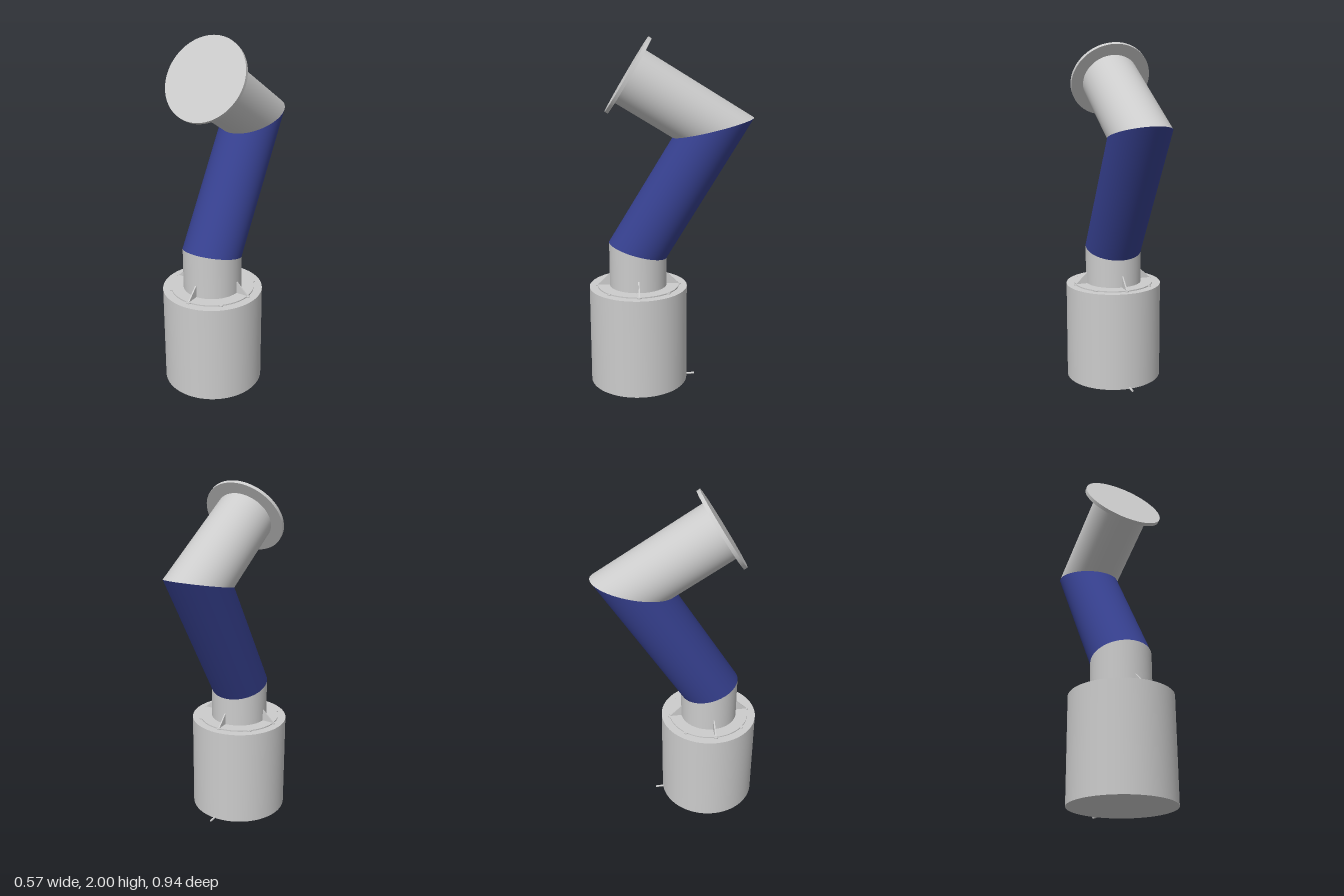
import * as THREE from 'three';

const R = 0.167;          // arm tube radius
const BASE_Z = 0.188;     // base axis
const BASE_R = 0.285;
const BASE_H = 0.58;
const PLATE_R = 0.237;

export function createModel() {
  const grey = new THREE.MeshStandardMaterial({ color: 0xcccccc });
  const blue = new THREE.MeshStandardMaterial({ color: 0x36408f });
  const tubeGrey = new THREE.MeshStandardMaterial({ color: 0xcccccc, side: THREE.DoubleSide });
  const tubeBlue = new THREE.MeshStandardMaterial({ color: blue.color, side: THREE.DoubleSide });
  const model = new THREE.Group();

  function add(name, geometry, material = grey, parent = model) {
    const mesh = new THREE.Mesh(geometry, material);
    mesh.name = name;
    parent.add(mesh);
    return mesh;
  }

  // Tube from one joint to the next, its ends cut at a slope for the mitres
  function mitredTube(name, from, to, slopeStart, slopeEnd, material) {
    const length = from.distanceTo(to);
    const g = new THREE.CylinderGeometry(R, R, length, 72, 1, true);
    g.translate(0, length / 2, 0);
    const p = g.attributes.position;
    for (let i = 0; i < p.count; i++) {
      const slope = p.getY(i) > length / 2 ? slopeEnd : slopeStart;
      p.setY(i, p.getY(i) + slope * p.getZ(i));
    }
    const tube = add(name, g, material);
    tube.position.copy(from);
    tube.rotation.x = Math.atan2(to.z - from.z, to.y - from.y);
    return tube;
  }

  // Base drum with a small peg at the back
  const base = new THREE.Group();
  base.name = 'base';
  base.position.z = BASE_Z;
  model.add(base);
  add('baseDrum', new THREE.CylinderGeometry(BASE_R, BASE_R, BASE_H, 72), grey, base)
    .position.y = BASE_H / 2;
  const peg = add('basePeg', new THREE.CylinderGeometry(0.006, 0.006, 0.08, 12), grey, base);
  peg.rotation.x = Math.PI / 2;
  peg.position.set(0, 0.006, -0.293);

  // Mounting plate with bolts on its rim
  add('mountingPlate', new THREE.CylinderGeometry(PLATE_R, PLATE_R, 0.007, 72), grey, base)
    .position.y = BASE_H + 0.0035;
  for (let i = 0; i < 8; i++) {
    const a = (i * Math.PI) / 4;
    add('plateBolt', new THREE.CylinderGeometry(0.012, 0.012, 0.006, 16), grey, base)
      .position.set(PLATE_R * Math.sin(a), BASE_H + 0.003, PLATE_R * Math.cos(a));
  }

  // Triangular gussets bracing the tube
  const web = new THREE.Shape([
    new THREE.Vector2(R - 0.01, BASE_H),
    new THREE.Vector2(PLATE_R, BASE_H),
    new THREE.Vector2(PLATE_R, BASE_H + 0.008),
    new THREE.Vector2(R, 0.655),
    new THREE.Vector2(R - 0.01, 0.655),
  ]);
  const webGeometry = new THREE.ExtrudeGeometry(web, { depth: 0.008, bevelEnabled: false });
  webGeometry.translate(0, 0, -0.004);
  for (let i = 0; i < 4; i++) {
    add('gusset', webGeometry, grey, base).rotation.y = (i * Math.PI) / 2;
  }

  // Arm: upright stub, leaning blue section, wrist at a right angle to it
  const foot = new THREE.Vector3(0, BASE_H, BASE_Z);
  const shoulder = new THREE.Vector3(0, 0.798, BASE_Z);
  const elbow = new THREE.Vector3(0, 1.503, -0.242);
  const lean = Math.atan2(elbow.z - shoulder.z, elbow.y - shoulder.y);
  const wristDir = new THREE.Vector3(0, -Math.sin(lean), Math.cos(lean));
  const wristEnd = elbow.clone().addScaledVector(wristDir, 0.55);
  const mitre = Math.tan(-lean / 2);
  mitredTube('lowerTube', foot, shoulder, 0, mitre, tubeGrey);
  mitredTube('middleTube', shoulder, elbow, -mitre, -1, tubeBlue);
  mitredTube('wristTube', elbow, wristEnd, 1, 0, tubeGrey);

  // End flange
  const flange = add('endFlange', new THREE.CylinderGeometry(PLATE_R, PLATE_R, 0.02, 72));
  flange.position.copy(elbow).addScaledVector(wristDir, 0.557);
  flange.rotation.x = lean + Math.PI / 2;

  return model;
}
